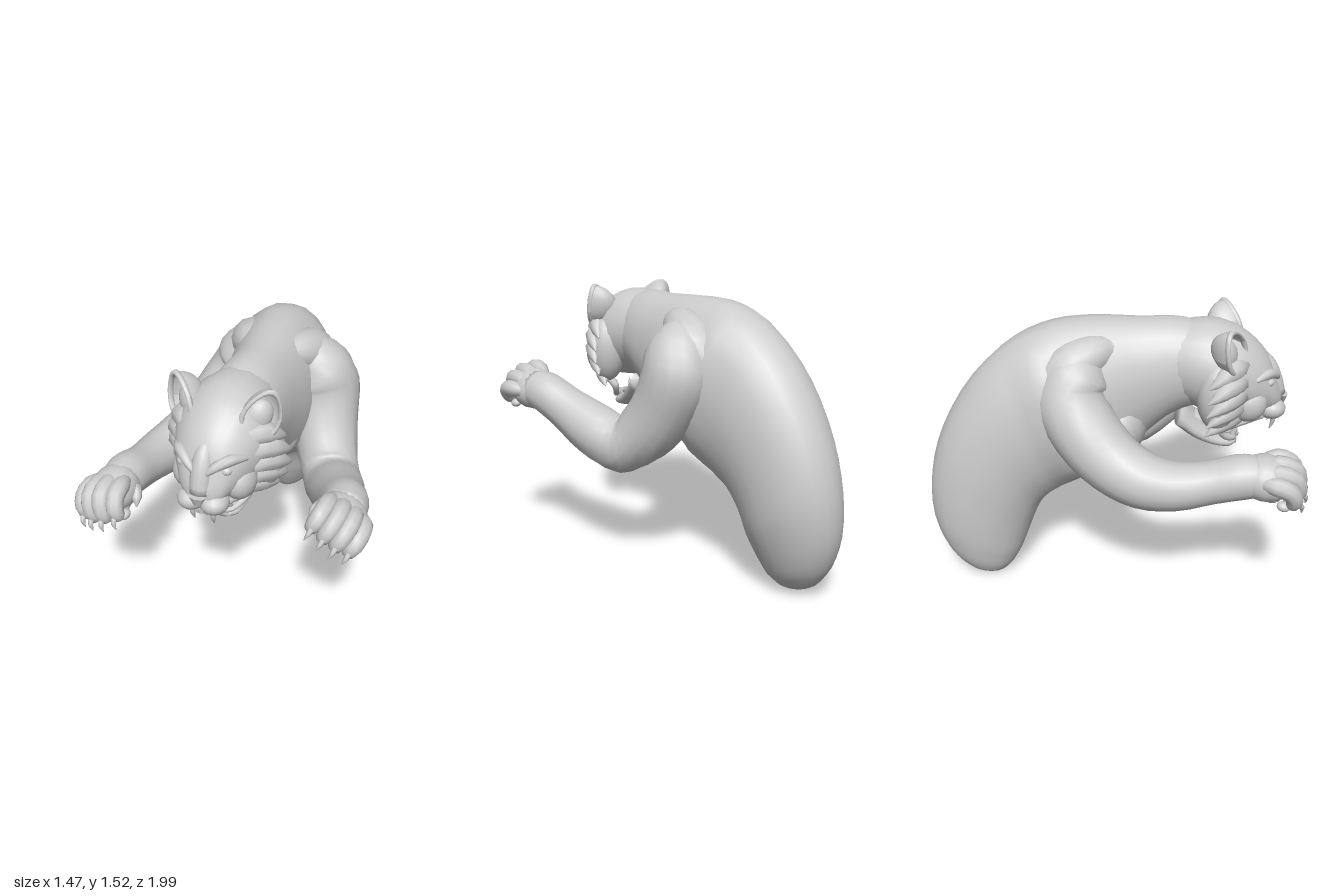
import * as THREE from 'three';

const V = (x, y, z) => new THREE.Vector3(x, y, z);
const mat = new THREE.MeshStandardMaterial({ color: 0xcccccc });
const thin = new THREE.MeshStandardMaterial({ color: 0xcccccc, side: THREE.DoubleSide });

function add(parent, name, geo, m = mat) {
  const mesh = new THREE.Mesh(geo, m);
  mesh.name = name;
  parent.add(mesh);
  return mesh;
}

// Smooth skin over elliptical sections [centre, half-axis u, half-axis v], closed at both ends
function loft(sections, sides = 20, steps = 3, rough = 0) {
  const track = k => new THREE.CatmullRomCurve3(sections.map(s => s[k]));
  const [cs, us, vs] = [track(0), track(1), track(2)];
  const rows = (sections.length - 1) * steps;
  const pos = [], idx = [];
  for (let i = 0; i <= rows; i++) {
    const t = i / rows, c = cs.getPoint(t), u = us.getPoint(t), v = vs.getPoint(t);
    for (let j = 0; j < sides; j++) {
      const a = j / sides * Math.PI * 2;
      const k = 1 + rough * Math.sin(i * 12.9 + j * 78.2);
      const p = c.clone().addScaledVector(u, Math.cos(a) * k).addScaledVector(v, Math.sin(a) * k);
      pos.push(p.x, p.y, p.z);
      if (i < rows) {
        const p0 = i * sides + j, p1 = i * sides + (j + 1) % sides;
        idx.push(p0, p1, p0 + sides, p1, p1 + sides, p0 + sides);
      }
    }
  }
  const n = pos.length / 3, last = rows * sides;
  for (const c of [sections[0][0], sections[sections.length - 1][0]]) pos.push(c.x, c.y, c.z);
  for (let j = 0; j < sides; j++) {
    const k = (j + 1) % sides;
    idx.push(n, k, j, n + 1, last + j, last + k);
  }
  // Turn the faces outward if the signed volume is negative
  const at = i => V(pos[i * 3], pos[i * 3 + 1], pos[i * 3 + 2]);
  let vol = 0;
  for (let i = 0; i < idx.length; i += 3) vol += at(idx[i]).dot(at(idx[i + 1]).cross(at(idx[i + 2])));
  if (vol < 0) idx.reverse();
  const g = new THREE.BufferGeometry();
  g.setAttribute('position', new THREE.Float32BufferAttribute(pos, 3));
  g.setIndex(idx);
  g.computeVertexNormals();
  return g;
}

// Sections given by upper and lower outline points: [topZ, topY, lowZ, lowY, x, halfWidth]
const outline = list => list.map(([tz, ty, bz, by, x, w]) =>
  [V(x, (ty + by) / 2, (tz + bz) / 2), V(w, 0, 0), V(0, (ty - by) / 2, (tz - bz) / 2)]);

// Round limb along points [x, y, z, radius]
function limb(pts, sides = 14, steps = 3, rough = 0) {
  const p = pts.map(a => V(a[0], a[1], a[2]));
  return loft(p.map((c, i) => {
    const t = p[Math.min(i + 1, p.length - 1)].clone().sub(p[Math.max(i - 1, 0)]).normalize();
    const ref = Math.abs(t.x) > 0.85 ? V(0, 0, 1) : V(1, 0, 0);
    const v = t.clone().cross(ref).normalize(), u = v.clone().cross(t);
    return [c, u.multiplyScalar(pts[i][3]), v.multiplyScalar(pts[i][3])];
  }), sides, steps, rough);
}

function ball(parent, name, x, y, z, rx, ry, rz) {
  const m = add(parent, name, new THREE.SphereGeometry(1, 16, 12));
  m.position.set(x, y, z);
  m.scale.set(rx, ry, rz);
  return m;
}

// Paw pointing along +z: palm, four bent toes with claws, pads and dew claw
function makePaw(name, inner) {
  const paw = new THREE.Group();
  paw.name = name;
  ball(paw, 'palm', 0, 0, 0.02, 0.125, 0.112, 0.14);
  ball(paw, 'mainPad', 0, -0.075, 0.07, 0.08, 0.045, 0.065);
  for (let i = 0; i < 4; i++) {
    const x = -0.096 + i * 0.064, mid = i === 1 || i === 2 ? 0.02 : 0, X = x * 1.06;
    add(paw, 'toe', limb([[x * 0.7, 0.03, -0.02, 0.03], [x, 0.055 + mid, 0.06, 0.046], [X, 0.045 + mid, 0.125 + mid, 0.044],
      [X, 0, 0.165 + mid, 0.043], [X, -0.045, 0.165 + mid, 0.033], [X, -0.07, 0.15 + mid, 0.006]], 10, 2));
    add(paw, 'claw', limb([[X, -0.02, 0.185 + mid, 0.017], [X, -0.045, 0.216 + mid, 0.012],
      [X, -0.08, 0.222 + mid, 0.002]], 6, 2));
    ball(paw, 'toePad', X, -0.065, 0.13 + mid, 0.028, 0.024, 0.034);
  }
  add(paw, 'dewClaw', limb([[inner * 0.1, -0.02, -0.02, 0.03], [inner * 0.12, -0.05, 0.03, 0.026],
    [inner * 0.12, -0.085, 0.06, 0.003]], 7, 2));
  return paw;
}

function makeHead() {
  const head = new THREE.Group();
  head.name = 'head';
  add(head, 'skull', loft(outline([
    [0.3, 1.46, 0.32, 1.08, 0, 0.17], [0.43, 1.49, 0.43, 1.03, 0, 0.215], [0.55, 1.49, 0.54, 0.98, 0, 0.24],
    [0.65, 1.455, 0.64, 0.97, 0, 0.23], [0.74, 1.39, 0.74, 0.985, 0, 0.19], [0.81, 1.31, 0.81, 0.99, 0, 0.145],
    [0.86, 1.2, 0.86, 1.0, 0, 0.105], [0.895, 1.12, 0.89, 1.01, 0, 0.055]]), 24, 3, 0.01));
  add(head, 'noseBridge', limb([[0, 1.33, 0.745, 0.02], [0, 1.26, 0.805, 0.045], [0, 1.17, 0.842, 0.055], [0, 1.08, 0.872, 0.05]], 14));
  const nose = add(head, 'nose', new THREE.CylinderGeometry(0.045, 0.016, 0.05, 8));
  nose.position.set(0, 1.06, 0.91);
  nose.scale.z = 0.5;

  for (const s of [-1, 1]) {
    ball(head, 'whiskerPad', s * 0.058, 1.025, 0.845, 0.07, 0.056, 0.075);
    ball(head, 'cheek', s * 0.13, 1.085, 0.71, 0.08, 0.1, 0.1);
    ball(head, 'ruff', s * 0.185, 1.15, 0.55, 0.105, 0.19, 0.11);
    ball(head, 'eye', s * 0.108, 1.198, 0.812, 0.03, 0.024, 0.028);
    add(head, 'brow', limb([[s * 0.03, 1.19, 0.868, 0.012], [s * 0.07, 1.225, 0.845, 0.024],
      [s * 0.125, 1.25, 0.8, 0.028], [s * 0.18, 1.235, 0.735, 0.012]], 9));
    add(head, 'lowerLid', limb([[s * 0.06, 1.175, 0.85, 0.008], [s * 0.11, 1.168, 0.824, 0.013],
      [s * 0.16, 1.195, 0.77, 0.008]], 8));
    // Ragged tufts along the jaw line, swept back
    for (let k = 0; k < 5; k++) {
      const y = 1.27 - k * 0.07, out = 0.305 - Math.pow(k - 1.6, 2) * 0.011;
      add(head, 'cheekFur', limb([[s * (out - 0.14), y + 0.03, 0.66, 0.06], [s * (out - 0.06), y + 0.02, 0.59, 0.058],
        [s * (out - 0.015), y - 0.02, 0.53, 0.025], [s * out, y - 0.045, 0.49, 0.003]], 9, 2));
    }
    // Cupped ear with a thick rim, turned outward
    const ear = new THREE.Group();
    ear.name = s > 0 ? 'leftEar' : 'rightEar';
    const taper = g => {
      const p = g.attributes.position;
      for (let i = 0; i < p.count; i++) p.setX(i, p.getX(i) * (1 - 0.28 * p.getY(i)));
      g.computeVertexNormals();
      return g;
    };
    add(ear, 'earShell', taper(new THREE.SphereGeometry(1, 18, 8, 0, Math.PI * 2, 0, Math.PI / 2).rotateX(-Math.PI / 2)), thin);
    add(ear, 'earRim', taper(new THREE.TorusGeometry(0.95, 0.12, 8, 20)));
    ball(ear, 'innerEar', 0, -0.25, -0.4, 0.75, 0.7, 0.35);
    ear.scale.set(0.09, 0.12, 0.13);
    ear.position.set(s * 0.21, 1.405, 0.62);
    ear.rotation.set(-0.15, s * 0.55, -s * 0.36);
    head.add(ear);
    // Fangs, mouth corners and small teeth
    add(head, 'upperFang', limb([[s * 0.052, 1.0, 0.855, 0.017], [s * 0.053, 0.945, 0.86, 0.013], [s * 0.05, 0.895, 0.845, 0.002]], 8));
    add(head, 'lowerFang', limb([[s * 0.045, 0.845, 0.65, 0.014], [s * 0.047, 0.89, 0.67, 0.011], [s * 0.047, 0.925, 0.67, 0.002]], 8));
    add(head, 'lip', limb([[s * 0.09, 0.995, 0.8, 0.015], [s * 0.118, 0.97, 0.69, 0.021], [s * 0.115, 0.915, 0.58, 0.022],
      [s * 0.09, 0.865, 0.61, 0.018], [s * 0.052, 0.84, 0.66, 0.016], [0, 0.835, 0.678, 0.016]], 8));
    for (let k = 0; k < 3; k++) {
      const x = s * (0.006 + k * 0.012);
      add(head, 'upperIncisor', limb([[x, 0.99, 0.875, 0.007], [x, 0.962, 0.875, 0.005]], 6, 1));
      add(head, 'lowerIncisor', limb([[x, 0.84, 0.67, 0.007], [x, 0.87, 0.676, 0.005]], 6, 1));
    }
  }
  add(head, 'lowerJaw', loft(outline([
    [0.38, 1.04, 0.34, 0.92, 0, 0.15], [0.48, 0.935, 0.44, 0.84, 0, 0.125], [0.57, 0.87, 0.55, 0.79, 0, 0.1],
    [0.64, 0.845, 0.635, 0.775, 0, 0.08], [0.68, 0.83, 0.675, 0.79, 0, 0.045]]), 16, 3, 0.01));
  add(head, 'tongue', loft(outline([[0.45, 0.98, 0.44, 0.92, 0, 0.055], [0.54, 0.925, 0.53, 0.87, 0, 0.052],
    [0.61, 0.885, 0.61, 0.845, 0, 0.045], [0.65, 0.865, 0.65, 0.845, 0, 0.022]]), 12));
  head.position.x = -0.04;
  return head;
}

export function createModel() {
  const model = new THREE.Group();
  model.name = 'leapingBigCat';

  // Neck, chest and back tapering to a rounded lower end
  add(model, 'body', loft(outline([
    [0.55, 1.42, 0.48, 1.04, -0.04, 0.17], [0.38, 1.495, 0.34, 0.98, -0.035, 0.19], [0.15, 1.495, 0.2, 0.86, -0.035, 0.205],
    [-0.1, 1.505, 0.06, 0.72, -0.06, 0.25], [-0.3, 1.485, -0.09, 0.63, -0.085, 0.28], [-0.5, 1.4, -0.25, 0.55, -0.1, 0.28],
    [-0.72, 1.2, -0.36, 0.475, -0.12, 0.262], [-0.9, 0.9, -0.42, 0.37, -0.14, 0.243], [-0.985, 0.62, -0.46, 0.26, -0.15, 0.225],
    [-0.99, 0.38, -0.5, 0.16, -0.17, 0.19], [-0.93, 0.19, -0.55, 0.07, -0.185, 0.145],
    [-0.83, 0.06, -0.6, 0.02, -0.2, 0.085], [-0.72, 0.005, -0.67, 0.002, -0.2, 0.02]]), 28, 3, 0.006));
  ball(model, 'breast', -0.08, 0.94, 0.05, 0.23, 0.2, 0.15);

  // Shoulder blades blending into the back
  for (const s of [-1, 1])
    add(model, 'shoulderBlade', limb([[-0.05 + s * 0.08, 1.39, 0.06, 0.03], [-0.05 + s * 0.13, 1.36, -0.07, 0.1],
      [-0.06 + s * 0.165, 1.29, -0.21, 0.13], [-0.08 + s * 0.17, 1.16, -0.34, 0.09], [-0.1 + s * 0.15, 1.05, -0.42, 0.03]], 14, 3, 0.01));

  add(model, 'leftArm', limb([[0.06, 1.38, -0.08, 0.03], [0.11, 1.32, -0.13, 0.12], [0.155, 1.24, -0.165, 0.175], [0.185, 1.12, -0.195, 0.195],
    [0.225, 0.94, -0.12, 0.178], [0.285, 0.785, -0.01, 0.162], [0.35, 0.71, 0.1, 0.155], [0.425, 0.775, 0.25, 0.145],
    [0.5, 0.875, 0.42, 0.12], [0.555, 0.945, 0.54, 0.115], [0.575, 0.96, 0.64, 0.105]], 18, 3, 0.012));
  add(model, 'rightArm', limb([[-0.14, 1.38, -0.08, 0.03], [-0.185, 1.32, -0.13, 0.12], [-0.225, 1.25, -0.165, 0.17],
    [-0.265, 1.14, -0.2, 0.185], [-0.355, 0.99, -0.11, 0.178], [-0.44, 0.87, 0.03, 0.16], [-0.51, 0.815, 0.18, 0.145],
    [-0.555, 0.815, 0.34, 0.125], [-0.565, 0.85, 0.52, 0.11], [-0.57, 0.885, 0.65, 0.115], [-0.57, 0.895, 0.76, 0.1]], 18, 3, 0.012));

  const left = makePaw('leftPaw', -1);
  left.position.set(0.57, 0.955, 0.63);
  left.rotation.set(-0.08, 0.1, -0.5);
  const right = makePaw('rightPaw', 1);
  right.position.set(-0.57, 0.89, 0.755);
  right.rotation.set(0.2, -0.05, 0.3);
  model.add(left, right, makeHead());
  return model;
}
